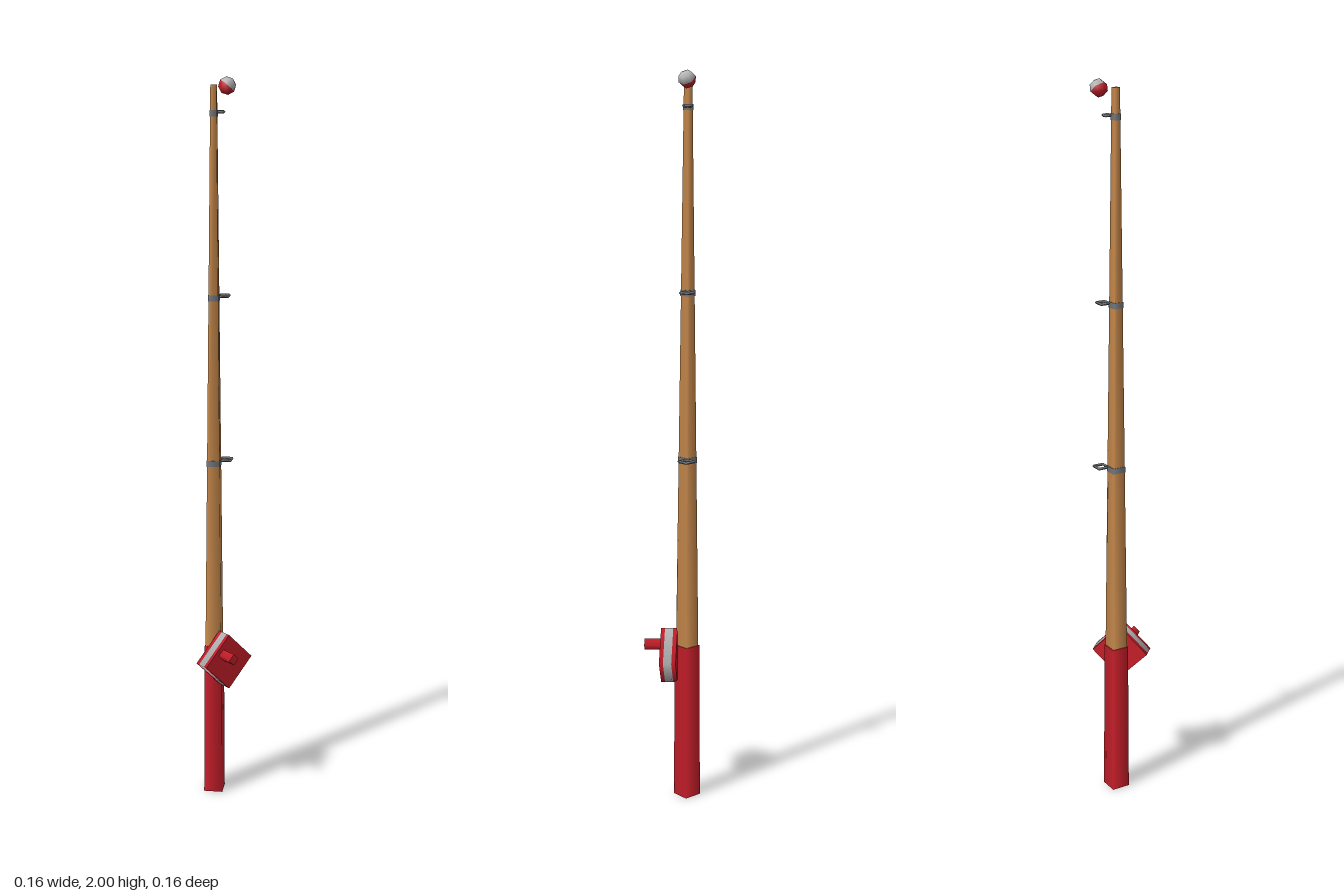
import * as THREE from 'three';

const material = (color) => new THREE.MeshStandardMaterial({ color, side: THREE.DoubleSide });
const red = material(0xcc1f2b);
const wood = material(0xcd8d4e);
const silver = material(0xbababa);
const steel = material(0x777b80);

const ROD_X = -0.042, ROD_Z = -0.003;
const ROD_BASE = 0.44, ROD_TOP = 1.98;
const rodRadius = (y) => THREE.MathUtils.mapLinear(y, ROD_BASE, ROD_TOP, 0.031, 0.011);

function add(parent, name, geometry, mat, x = 0, y = 0, z = 0) {
  const mesh = new THREE.Mesh(geometry, mat);
  mesh.name = name;
  mesh.position.set(x, y, z);
  parent.add(mesh);
  return mesh;
}

// Four-sided upright bar between two heights
function bar(parent, name, y0, y1, r0, r1, mat) {
  return add(parent, name, new THREE.CylinderGeometry(r1, r0, y1 - y0, 4), mat, 0, (y0 + y1) / 2, 0);
}

// Four-sided drum lying along x
function drum(parent, name, x0, x1, radius, mat, y, z) {
  const geometry = new THREE.CylinderGeometry(radius, radius, x1 - x0, 4).rotateZ(-Math.PI / 2);
  return add(parent, name, geometry, mat, (x0 + x1) / 2, y, z);
}

export function createModel() {
  const model = new THREE.Group();
  model.name = 'fishingRod';

  // Handle and tapering rod
  const pole = new THREE.Group();
  pole.name = 'pole';
  pole.position.set(ROD_X, 0, ROD_Z);
  model.add(pole);
  bar(pole, 'handle', 0, ROD_BASE, 0.037, 0.034, red);
  bar(pole, 'rod', ROD_BASE, ROD_TOP, rodRadius(ROD_BASE), rodRadius(ROD_TOP), wood);

  // Line guides: a collar round the rod and a flat ring behind it
  for (const [y, reach, r] of [[0.97, 0.067, 0.025], [1.425, 0.057, 0.022], [1.91, 0.038, 0.015]]) {
    const guide = new THREE.Group();
    guide.name = 'lineGuide';
    pole.add(guide);
    const c = rodRadius(y) + 0.002;
    bar(guide, 'guideCollar', y - 0.011, y + 0.005, c, c, steel);
    const ring = new THREE.TorusGeometry(r - 0.004, 0.004, 4, 4).rotateX(Math.PI / 2);
    add(guide, 'guideRing', ring, steel, 0, y, r - reach);
  }

  // Reel: a spool between two side plates, with a crank knob
  const reel = new THREE.Group();
  reel.name = 'reel';
  model.add(reel);
  drum(reel, 'innerPlate', -0.015, -0.003, 0.079, red, 0.408, 0);
  drum(reel, 'spool', -0.003, 0.02, 0.079, silver, 0.408, 0);
  drum(reel, 'outerPlate', 0.02, 0.031, 0.079, red, 0.408, 0);
  drum(reel, 'crankKnob', 0.031, 0.079, 0.016, red, 0.433, 0.02);

  // Two-coloured float beside the tip, tilted backwards
  const float = new THREE.Group();
  float.name = 'float';
  float.position.set(ROD_X, 1.977, -0.047);
  float.quaternion.setFromUnitVectors(
    new THREE.Vector3(0, 1, 0), new THREE.Vector3(0.3, 0.75, -0.55).normalize());
  model.add(float);
  const half = (start) => new THREE.SphereGeometry(0.024, 6, 2, 0, Math.PI * 2, start, Math.PI / 2);
  add(float, 'floatTop', half(0), silver);
  add(float, 'floatBottom', half(Math.PI / 2), red);

  return model;
}
